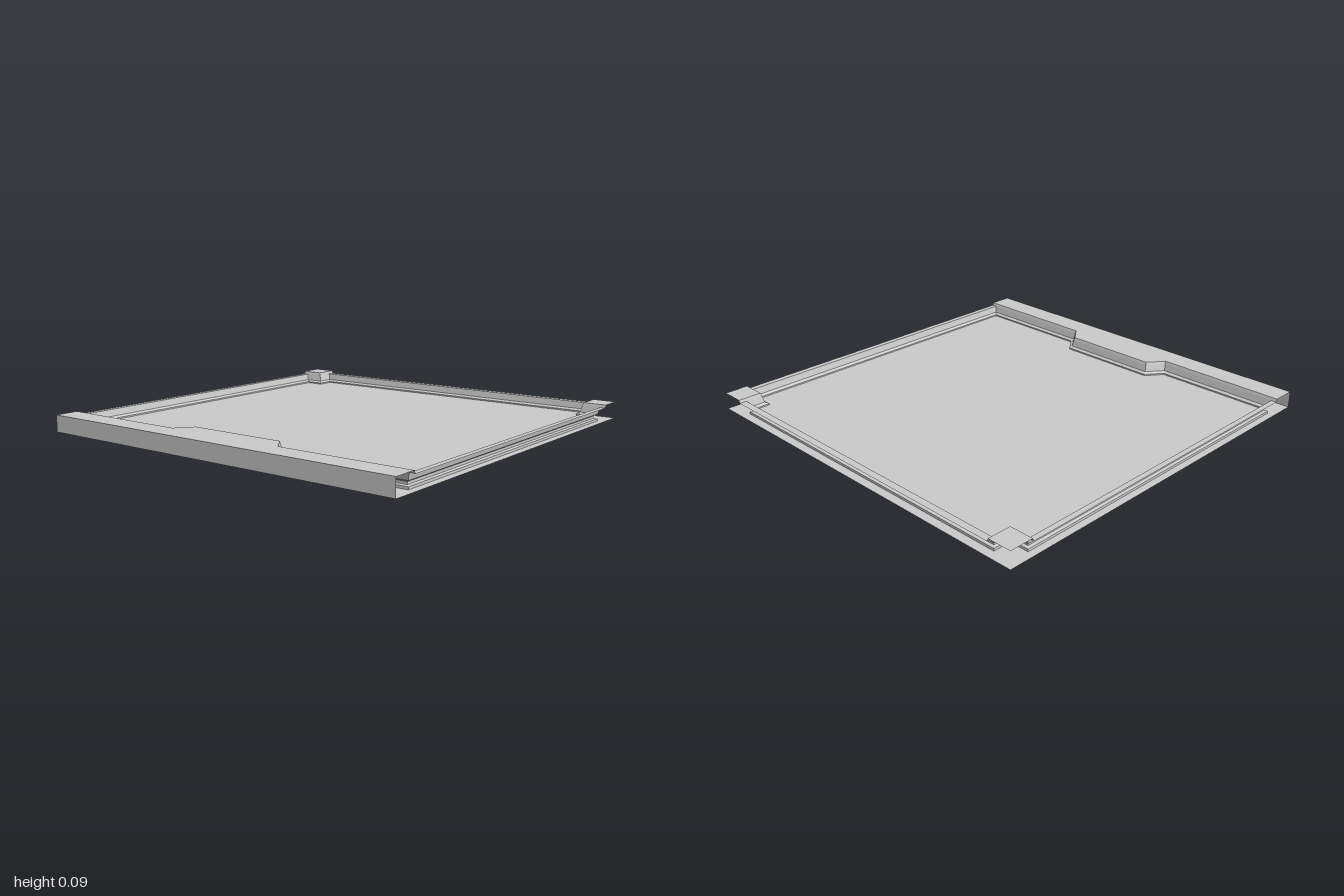
import * as THREE from 'three';

const material = new THREE.MeshStandardMaterial({
  color: 0xcccccc, flatShading: true, side: THREE.DoubleSide,
});

// Heights of the layers
const FLOOR = 0.02, RIM = 0.07, TOP = 0.085;

// Inner outline of the tray in plan (x, z), mirrored front to back
const half = [[-0.78, 0.26], [-0.865, 0.325], [-0.865, 0.963],
  [0.865, 0.963], [0.865, 0.865], [0.955, 0.865]];
const mirror = (path) => path.map(([x, z]) => [x, -z]).reverse();
const outline = [...half, ...mirror(half)];

// Moves a closed outline inward by d, keeping its corners mitred
function inset(path, d) {
  const n = path.length;
  const normal = (a, b) => {
    const dx = b[0] - a[0], dz = b[1] - a[1], l = Math.hypot(dx, dz);
    return [dz / l, -dx / l];
  };
  return path.map((p, i) => {
    const u = normal(path[(i + n - 1) % n], p);
    const v = normal(p, path[(i + 1) % n]);
    const k = d / (1 + u[0] * v[0] + u[1] * v[1]);
    return [p[0] + (u[0] + v[0]) * k, p[1] + (u[1] + v[1]) * k];
  });
}

// Wall band between an upper and a lower path, facing inward
function band(upper, yUpper, lower, yLower, closed) {
  const pos = [], n = upper.length;
  for (let i = 0; i < (closed ? n : n - 1); i++) {
    const j = (i + 1) % n;
    const a = [upper[i][0], yUpper, upper[i][1]], b = [upper[j][0], yUpper, upper[j][1]];
    const c = [lower[i][0], yLower, lower[i][1]], d = [lower[j][0], yLower, lower[j][1]];
    pos.push(...a, ...b, ...c, ...b, ...d, ...c);
  }
  const g = new THREE.BufferGeometry();
  g.setAttribute('position', new THREE.Float32BufferAttribute(pos, 3));
  g.computeVertexNormals();
  return g;
}

// Flat horizontal sheet from a plan outline
function sheet(path, y, hole) {
  const points = (p) => p.map(([x, z]) => new THREE.Vector2(x, -z));
  const shape = new THREE.Shape(points(path));
  if (hole) shape.holes.push(new THREE.Path(points(hole)));
  return new THREE.ShapeGeometry(shape).rotateX(-Math.PI / 2).translate(0, y, 0);
}

const rect = (x0, x1, z0, z1) => [[x0, z0], [x0, z1], [x1, z1], [x1, z0]];

export function createModel() {
  const model = new THREE.Group();
  const add = (name, geometry) => {
    const mesh = new THREE.Mesh(geometry, material);
    mesh.name = name;
    model.add(mesh);
  };

  const ridge = inset(outline, 0.015);
  const rim = inset(outline, -0.008);
  const lip = inset(outline, -0.013);

  // Floor panel and the flange around it underneath
  add('floorPanel', sheet(ridge, FLOOR));
  add('baseFlange', sheet(rect(-1, 1, -1, 1), 0, outline));

  // Wall profile from the rim, past the ridge that holds the floor, to the base
  const profile = [[rim, RIM], [outline, 0.036], [ridge, 0.027], [ridge, 0.015],
    [outline, 0.012], [outline, 0]];
  for (let i = 0; i < profile.length - 1; i++) {
    add('innerWall', band(...profile[i], ...profile[i + 1], true));
  }

  // Low rims along the front, back and left
  const [rx, rz] = rim[3], [ex, ez] = rim[5];
  add('frontRim', sheet(rect(rim[2][0], rx, rz, 1), RIM));
  add('backRim', sheet(rect(rim[2][0], rx, -1, -rz), RIM));
  add('sideRim', sheet(rect(ex, 1, -ez, ez), RIM));

  // Raised ledge with its bulge, open at both ends
  const ledgeEdge = (p) => [[p[10][0], -1], p[10], p[11], p[0], p[1], [p[1][0], 1]];
  add('ledgeTop', sheet([[-1, -1], ...ledgeEdge(lip), [-1, 1]], TOP));
  add('ledgeLip', band(ledgeEdge(lip), TOP, ledgeEdge(rim), RIM));
  const outer = [[-1, 1], [-1, -1]];
  add('ledgeOuterWall', band(outer, TOP, outer, 0));

  // Raised corner plates with sloped lips
  const cornerEdge = (p) => [[p[4][0], 1], p[4], [1, p[4][1]]];
  for (const flip of [(p) => p, mirror]) {
    const upper = flip(cornerEdge(lip)), lower = flip(cornerEdge(rim));
    add('cornerPlate', sheet(flip([...cornerEdge(lip), [1, 1]]), TOP));
    add('cornerLip', band(upper, TOP, lower, RIM));
  }
  return model;
}
